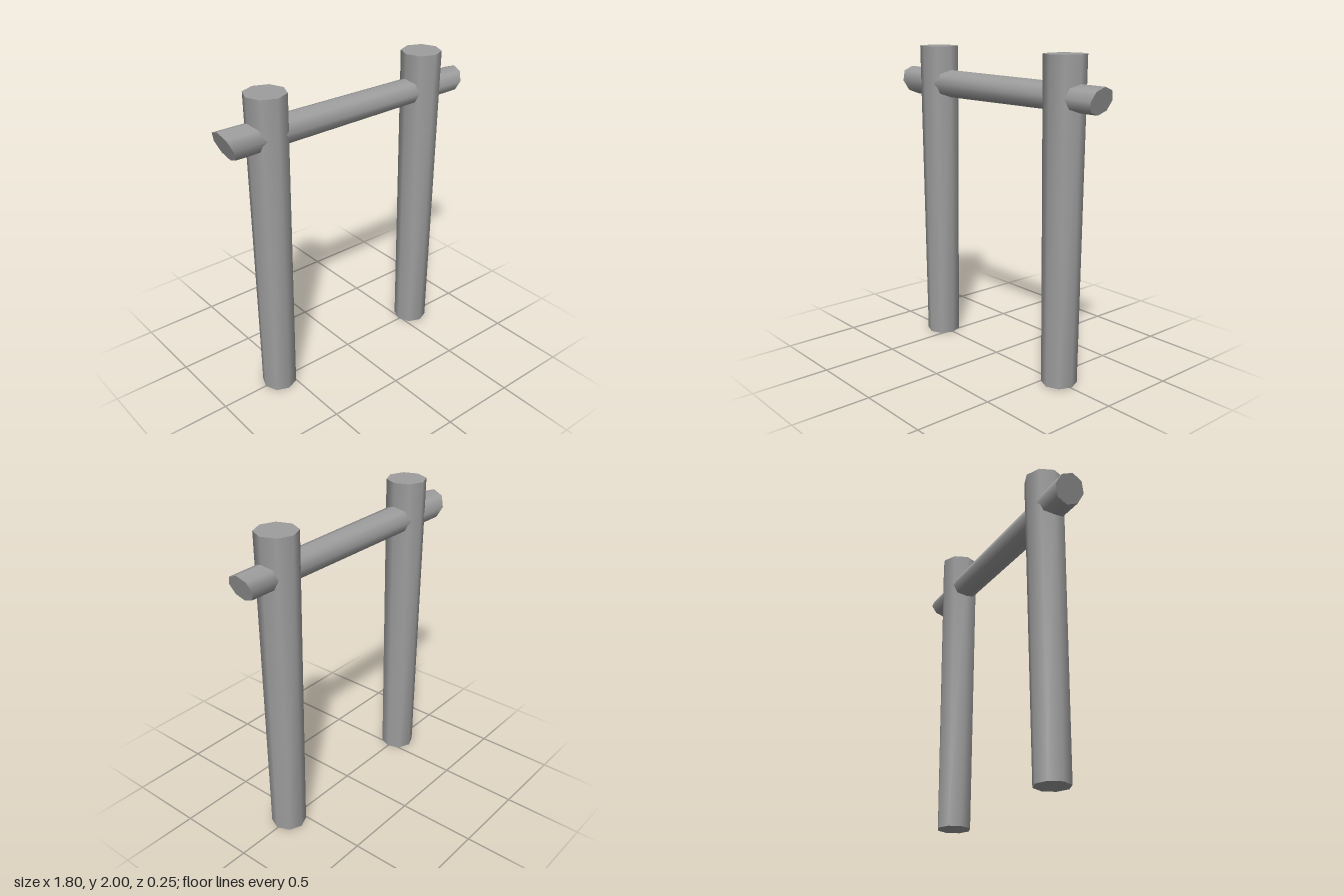
import * as THREE from 'three';
import { toCreasedNormals } from 'three/addons/utils/BufferGeometryUtils.js';

const SIDES = 8;
const CREASE = 0.9; // smooth round the sides, sharp at the ends
const material = new THREE.MeshStandardMaterial({ color: 0x9e9e9e });

function addMesh(group, name, geometry) {
  const mesh = new THREE.Mesh(toCreasedNormals(geometry, CREASE), material);
  mesh.name = name;
  group.add(mesh);
  return mesh;
}

// Upright log, slightly wider at the top
function addPost(group, name, x, bottom) {
  const height = 2 - bottom;
  const post = addMesh(group, name, new THREE.CylinderGeometry(0.127, 0.11, height, SIDES));
  post.position.set(x, bottom + height / 2, 0);
}

// Crossbar log, slightly oval and tapered, with both ends cut at a slant
function crossbarGeometry() {
  const geometry = new THREE.CylinderGeometry(0.088, 0.101, 1.735, SIDES);
  geometry.rotateZ(-Math.PI / 2);
  geometry.scale(1, 0.915, 1);
  const p = geometry.attributes.position;
  for (let i = 0; i < p.count; i++) {
    const y = p.getY(i);
    p.setX(i, p.getX(i) > 0 ? 0.872 + y * 0.32 : -0.863 - y * 0.39);
  }
  return geometry;
}

export function createModel() {
  const group = new THREE.Group();
  group.name = 'logFrame';

  addPost(group, 'rightPost', -0.582, 0);
  addPost(group, 'leftPost', 0.591, 0.006);

  const crossbar = addMesh(group, 'crossbar', crossbarGeometry());
  crossbar.position.y = 1.757;

  return group;
}
